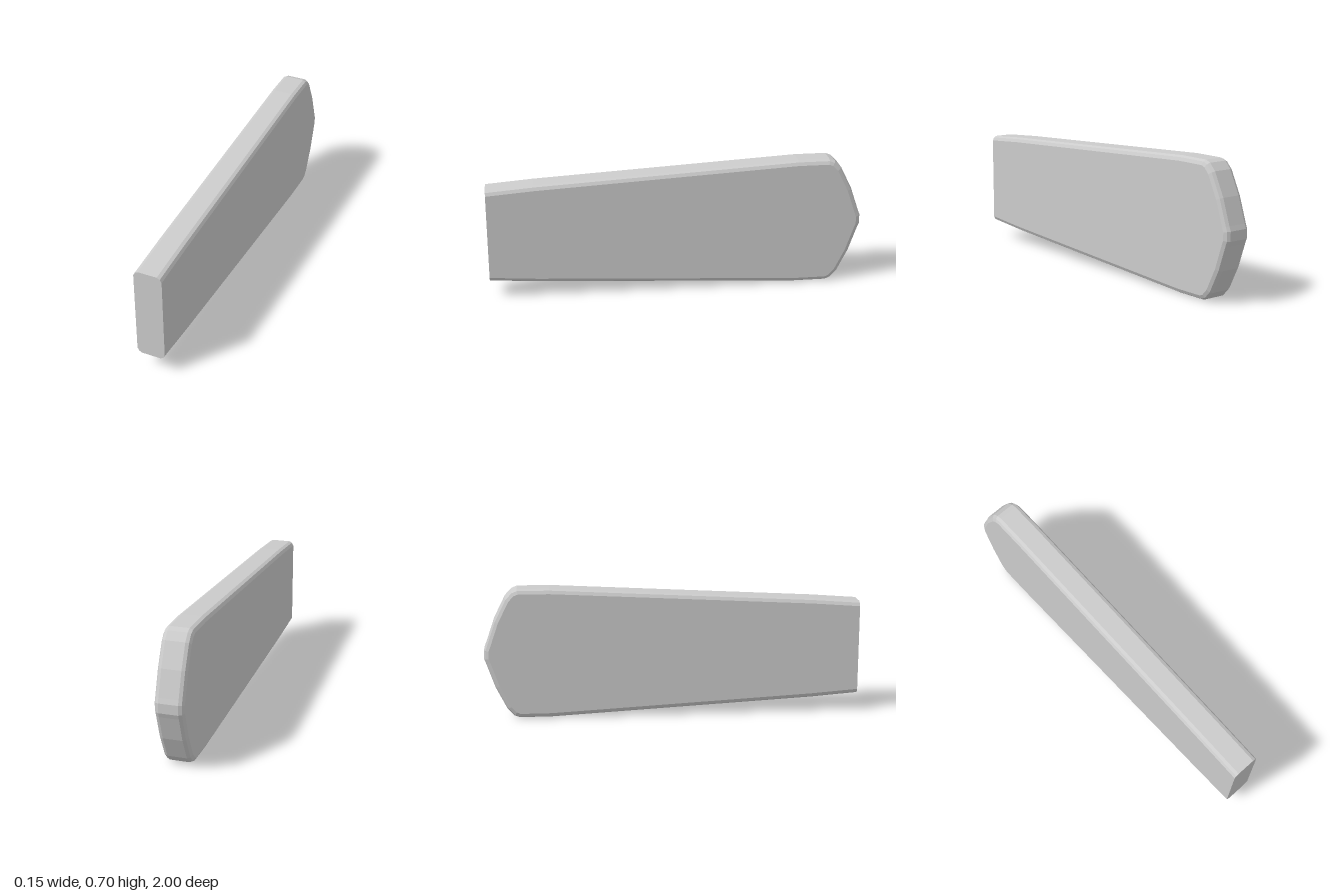
import * as THREE from 'three';

const MID_Y = 0.3485;

// Side outline of the upper half: [z, height above the middle], front to back
const HALF = [
  [1, 0.254], [0.75, 0.273], [-0.65, 0.3485], [-0.82, 0.3485], [-0.85, 0.337],
  [-0.885, 0.3], [-0.945, 0.18], [-0.99, 0.05], [-1, 0.025],
];
// Rounded long edges: [x, inset of the outline]
const LAYERS = [[0.075, 0.025], [0.066, 0.008], [0.05, 0], [-0.05, 0], [-0.066, 0.008], [-0.075, 0.025]];

// Moves every edge of the outline inwards, keeping the front end flat at z = 1
function insetOutline(points, d) {
  const n = points.length;
  const normal = (a, b) => new THREE.Vector2(b[1] - a[1], a[0] - b[0]).normalize();
  return points.map((p, i) => {
    if (i === 0 || i === n - 1) return [p[0], p[1] - Math.sign(p[1]) * d];
    const n1 = normal(points[i - 1], p);
    const n2 = normal(p, points[i + 1]);
    const miter = n1.clone().add(n2).multiplyScalar(d / (1 + n1.dot(n2)));
    return [p[0] - miter.x, p[1] - miter.y];
  });
}

function bladeGeometry() {
  const outline = [...HALF, ...HALF.map(([z, h]) => [z, -h]).reverse()];
  const n = outline.length;
  const positions = [];
  const index = [];
  for (const [x, inset] of LAYERS) {
    for (const [z, h] of insetOutline(outline, inset)) positions.push(x, MID_Y + h, z);
  }
  // Rim strips between neighbouring layers
  for (let l = 0; l < LAYERS.length - 1; l++) {
    for (let i = 0; i < n; i++) {
      const j = (i + 1) % n;
      const a = l * n + i, b = l * n + j, c = b + n, d = a + n;
      index.push(a, b, c, a, c, d);
    }
  }
  // Flat side faces
  const last = (LAYERS.length - 1) * n;
  const left = positions.length / 3;
  positions.push(LAYERS[0][0], MID_Y, 0, -LAYERS[0][0], MID_Y, 0);
  for (let i = 0; i < n; i++) {
    const j = (i + 1) % n;
    index.push(left, j, i, left + 1, last + i, last + j);
  }
  const geometry = new THREE.BufferGeometry();
  geometry.setAttribute('position', new THREE.Float32BufferAttribute(positions, 3));
  geometry.setIndex(index);
  const flat = geometry.toNonIndexed();
  flat.computeVertexNormals();
  return flat;
}

export function createModel() {
  const group = new THREE.Group();
  const material = new THREE.MeshStandardMaterial({ color: 0xcccccc, flatShading: true });
  const blade = new THREE.Mesh(bladeGeometry(), material);
  blade.name = 'taperedBlade';
  group.add(blade);
  return group;
}
